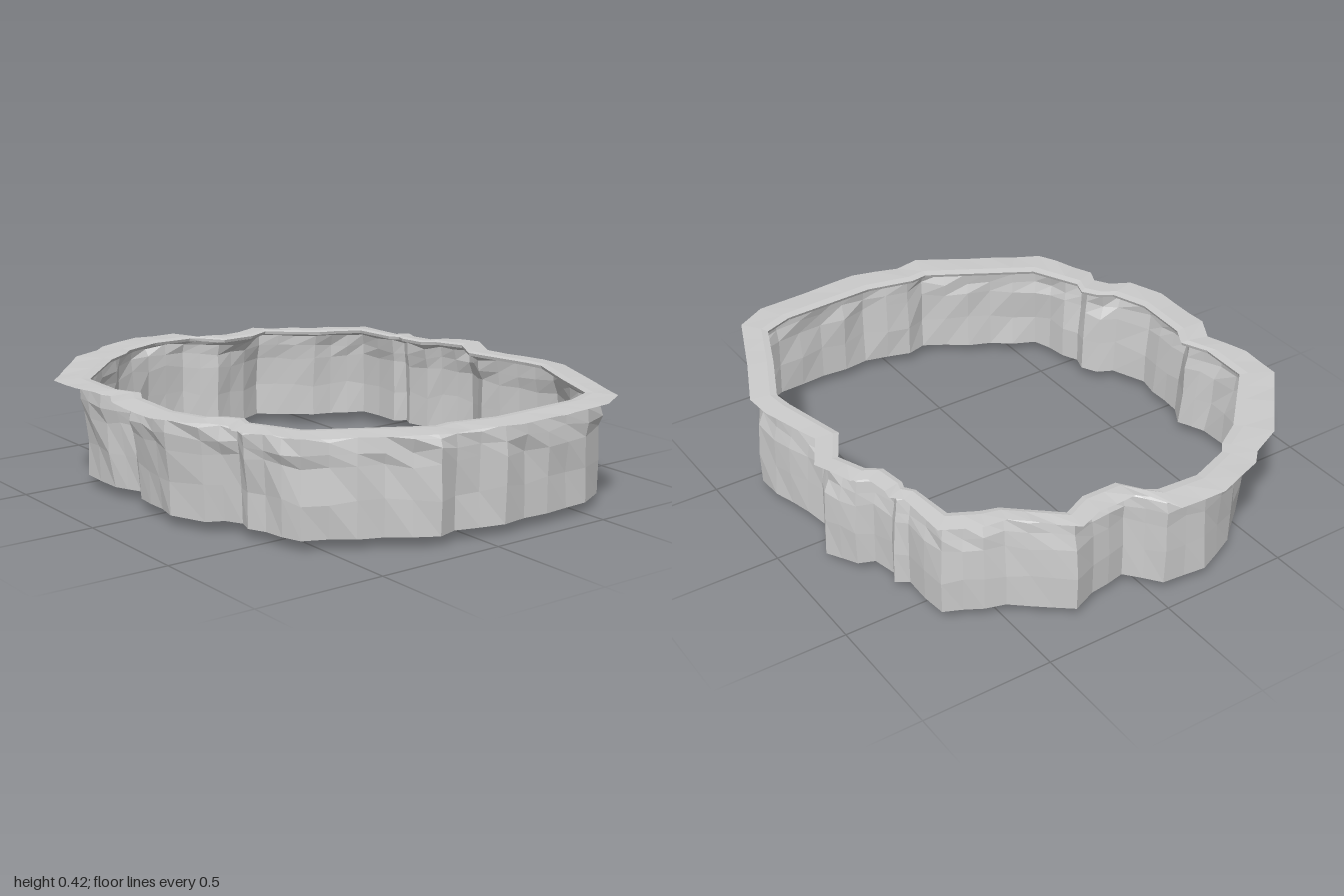
import * as THREE from 'three';

// Rim outline seen from above as [x, z] corners; outer and inner corners are paired
const OUTER = [
  [-0.09, -0.87], [0.05, -0.79], [0.3, -0.86], [0.41, -0.865], [0.62, -0.77], [0.9, -0.655],
  [0.97, -0.535], [1, -0.1], [0.95, 0.085], [0.963, 0.18], [0.71, 0.63], [0.48, 0.73],
  [0.42, 0.705], [0.36, 0.74], [0.315, 0.81], [0.18, 0.865], [-0.085, 0.86], [-0.18, 0.81],
  [-0.35, 0.86], [-0.52, 0.855], [-0.82, 0.595], [-0.88, 0.465], [-0.93, 0.415], [-1, 0.22],
  [-0.99, 0.04], [-0.88, -0.01], [-0.85, -0.05], [-0.85, -0.2], [-0.89, -0.295], [-0.72, -0.485],
  [-0.71, -0.565], [-0.635, -0.705], [-0.43, -0.71], [-0.395, -0.75], [-0.35, -0.74],
  [-0.26, -0.755], [-0.235, -0.81],
];
const INNER = [
  [-0.09, -0.775], [0.04, -0.7], [0.3, -0.76], [0.38, -0.77], [0.59, -0.675], [0.8, -0.59],
  [0.845, -0.475], [0.865, -0.1], [0.825, 0.085], [0.835, 0.15], [0.615, 0.535], [0.43, 0.625],
  [0.37, 0.605], [0.31, 0.645], [0.28, 0.695], [0.14, 0.745], [-0.085, 0.735], [-0.16, 0.695],
  [-0.26, 0.74], [-0.46, 0.735], [-0.705, 0.5], [-0.77, 0.395], [-0.81, 0.36], [-0.87, 0.2],
  [-0.86, 0.04], [-0.835, 0], [-0.75, -0.06], [-0.75, -0.2], [-0.795, -0.295], [-0.645, -0.47],
  [-0.625, -0.535], [-0.575, -0.63], [-0.405, -0.65], [-0.37, -0.675], [-0.34, -0.665],
  [-0.235, -0.68], [-0.2, -0.73],
];

// Cliff rows from foot to crown: height, place across the rim, roughness,
// inward lean along the front and outward bulge along the back
const PROFILE = [
  { y: 0.04, across: 0.42, rough: 0.06, lean: 0.28, bulge: 0.36 },
  { y: 0.17, across: 0.42, rough: 0.06, lean: 0.24, bulge: 0.38 },
  { y: 0.29, across: 0.39, rough: 0.07, lean: 0.12, bulge: 0.32 },
  { y: 0.34, across: 0.42, rough: 0.1, lean: 0.03, bulge: 0.15 },
  { y: 0.385, across: 0.39, rough: 0.08, lean: 0, bulge: 0.1 },
  { y: 0.404, across: 0.04, rough: 0.02, lean: 0, bulge: 0 },
];

// Seeded random in -1..1
function seeded(seed) {
  return () => {
    seed = (seed * 16807) % 2147483647;
    return (seed / 2147483647) * 2 - 1;
  };
}

// Split long stretches so the rock gets more columns
function makeColumns() {
  const columns = [];
  OUTER.forEach((o, i) => {
    const j = (i + 1) % OUTER.length;
    const length = Math.hypot(OUTER[j][0] - o[0], OUTER[j][1] - o[1]);
    const parts = Math.max(1, Math.round(length / 0.1));
    const mix = (p, q, t) => new THREE.Vector2(...p).lerp(new THREE.Vector2(...q), t);
    for (let k = 0; k < parts; k++) {
      columns.push({
        outer: mix(o, OUTER[j], k / parts),
        inner: mix(INNER[i], INNER[j], k / parts),
      });
    }
  });
  return columns;
}

// Closed strip of quads through successive rows of points
function strip(rows, name) {
  const positions = [];
  for (let r = 0; r < rows.length - 1; r++) {
    const n = rows[r].length;
    for (let i = 0; i < n; i++) {
      const j = (i + 1) % n;
      const [a, b, c, d] = [rows[r][i], rows[r + 1][i], rows[r + 1][j], rows[r][j]];
      for (const p of [a, b, c, a, c, d]) positions.push(p.x, p.y, p.z);
    }
  }
  const geometry = new THREE.BufferGeometry();
  geometry.setAttribute('position', new THREE.Float32BufferAttribute(positions, 3));
  geometry.computeVertexNormals();
  const mesh = new THREE.Mesh(geometry, new THREE.MeshStandardMaterial({
    color: 0xcccccc, flatShading: true, side: THREE.DoubleSide,
  }));
  mesh.name = name;
  return mesh;
}

export function createModel() {
  const random = seeded(4711);
  const columns = makeColumns();

  // Point across the rim: 0 is the inner edge, 1 the outer edge
  const at = (column, across, y) => {
    const p = column.inner.clone().lerp(column.outer, across);
    return new THREE.Vector3(p.x, y, p.y);
  };

  // Two places where the foot of the cliff hangs lower
  const footY = (c) => {
    const front = Math.hypot(c.inner.x + 0.6, c.inner.y - 0.6);
    const back = Math.hypot(c.inner.x + 0.05, c.inner.y + 0.75);
    return 0.04 - Math.min(0.04, 0.06 * Math.max(0, 1 - front / 0.16))
      - 0.035 * Math.max(0, 1 - back / 0.16);
  };

  // Each column wanders in or out as a whole, so upright ribs and clefts form
  const ribs = columns.map(() => 0.06 * random());
  const wallRows = PROFILE.map(({ y, across, rough, lean, bulge }, r) => {
    const crown = r === PROFILE.length - 1;
    return columns.map((c, i) => {
      const front = THREE.MathUtils.smoothstep(c.inner.y, 0.42, 0.62) * (c.inner.x < 0.5 ? 1 : 0);
      // The back and the back right swell out beneath the narrow rim
      const back = THREE.MathUtils.smoothstep(-c.inner.y, 0, 0.2)
        * (1 - THREE.MathUtils.smoothstep(c.inner.x, 0.45, 0.65));
      const place = across - lean * front + bulge * back + (crown ? 0 : ribs[i]) + rough * random();
      const height = r === 0 ? footY(c) : y + (crown ? 0.002 : 0.01) * random();
      return at(c, place, height);
    });
  });

  // Thin flat rim with a small lip folded under its inner edge
  const rimRows = [
    columns.map((c) => at(c, 1, 0.413 + 0.004 * random())),
    columns.map((c) => at(c, 0.25, 0.416)),
    columns.map((c) => at(c, 0, 0.412)),
    columns.map((c) => at(c, 0.04, 0.4)),
  ];

  const group = new THREE.Group();
  group.name = 'cliffRing';
  group.add(strip(wallRows, 'rockWall'), strip(rimRows, 'topRim'));
  return group;
}
